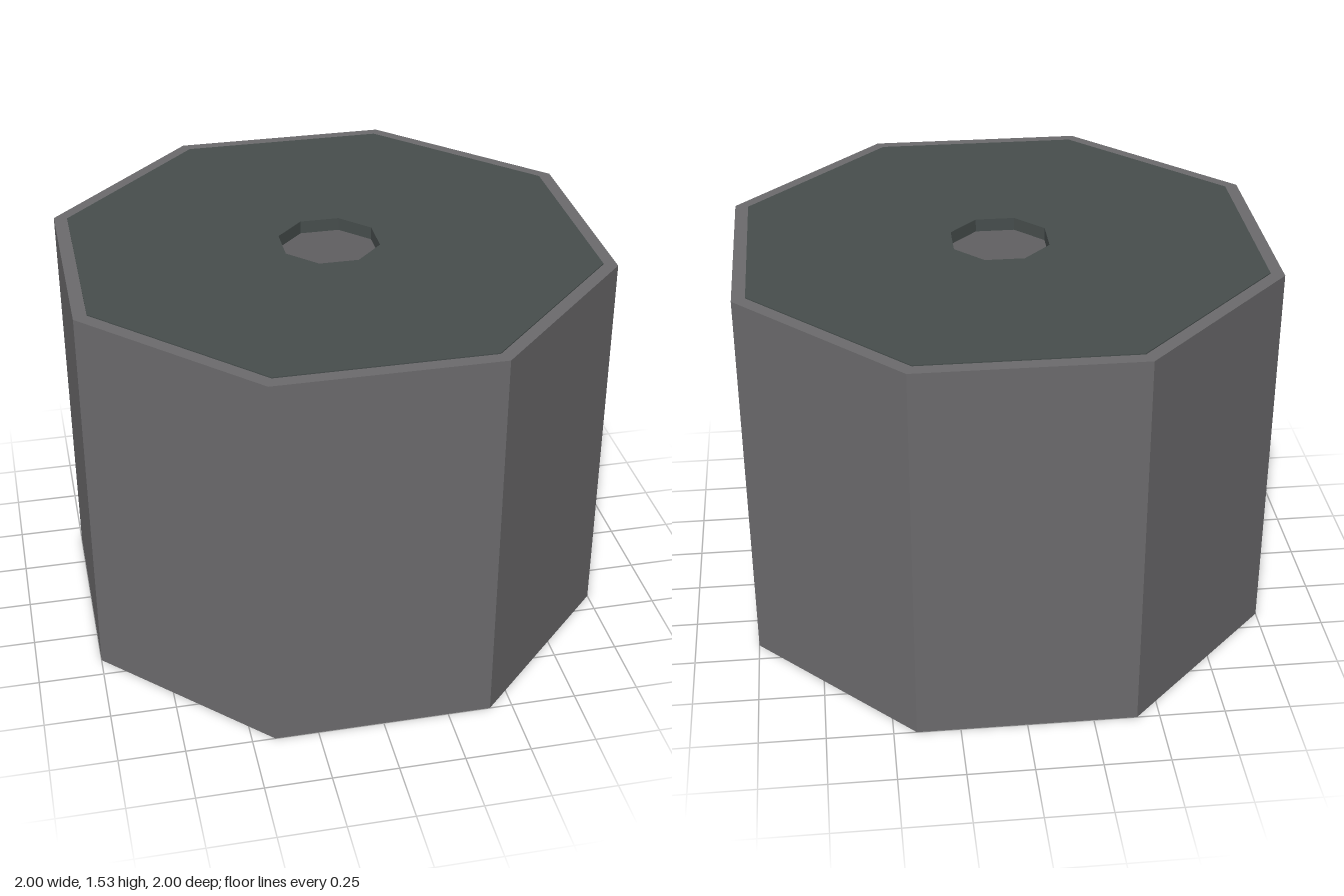
import * as THREE from 'three';

// Octagonal solid of revolution; profile is [apothem, y], outer side going up.
const FLAT = Math.cos(Math.PI / 8);
function octagon(name, profile, material) {
  const points = profile.map(([a, y]) => new THREE.Vector2(a / FLAT, y));
  const geometry = new THREE.LatheGeometry(points, 8, Math.PI / 8).toNonIndexed();
  geometry.computeVertexNormals();
  const mesh = new THREE.Mesh(geometry, material);
  mesh.name = name;
  return mesh;
}

function box(name, size, position, material) {
  const mesh = new THREE.Mesh(new THREE.BoxGeometry(...size), material);
  mesh.name = name;
  mesh.position.set(...position);
  return mesh;
}

function flatMaterial(name, color) {
  const material = new THREE.MeshStandardMaterial({ color });
  material.name = name;
  return material;
}

export function createModel() {
  const wallGrey = flatMaterial('wall grey', 0x6c6b6d);
  const lidGrey = flatMaterial('dark green grey', 0x474e4d);
  const floorGrey = flatMaterial('light grey', 0xb6b6b6);
  const model = new THREE.Group();
  model.name = 'octagonalTank';

  // Hollow outer wall, thicker at its foot
  model.add(octagon('wall', [[0.915, 0], [1, 0], [1, 1.526], [0.95, 1.526], [0.915, 0]], wallGrey));

  // Lid with a central opening
  model.add(octagon('lid', [[0.18, 1.48], [0.95, 1.48], [0.95, 1.53], [0.18, 1.53], [0.18, 1.48]], lidGrey));

  // Floor: rim ring, slightly recessed centre panel, and front tab
  model.add(octagon('floorRing', [[0.69, 0.005], [0.916, 0.005], [0.916, 0.04], [0.69, 0.04], [0.69, 0.005]], floorGrey));
  model.add(octagon('floorPanel', [[0, 0.01], [0.69, 0.01], [0.69, 0.04], [0, 0.04]], floorGrey));
  model.add(box('floorTab', [0.23, 0.02, 0.22], [0, 0.012, 0.8], floorGrey));

  // Upright strip on the inside of one diagonal wall
  const strip = box('innerStrip', [0.1, 1.44, 0.05], [-0.63, 0.76, -0.63], lidGrey);
  strip.rotation.y = Math.PI / 4;
  model.add(strip);

  return model;
}
